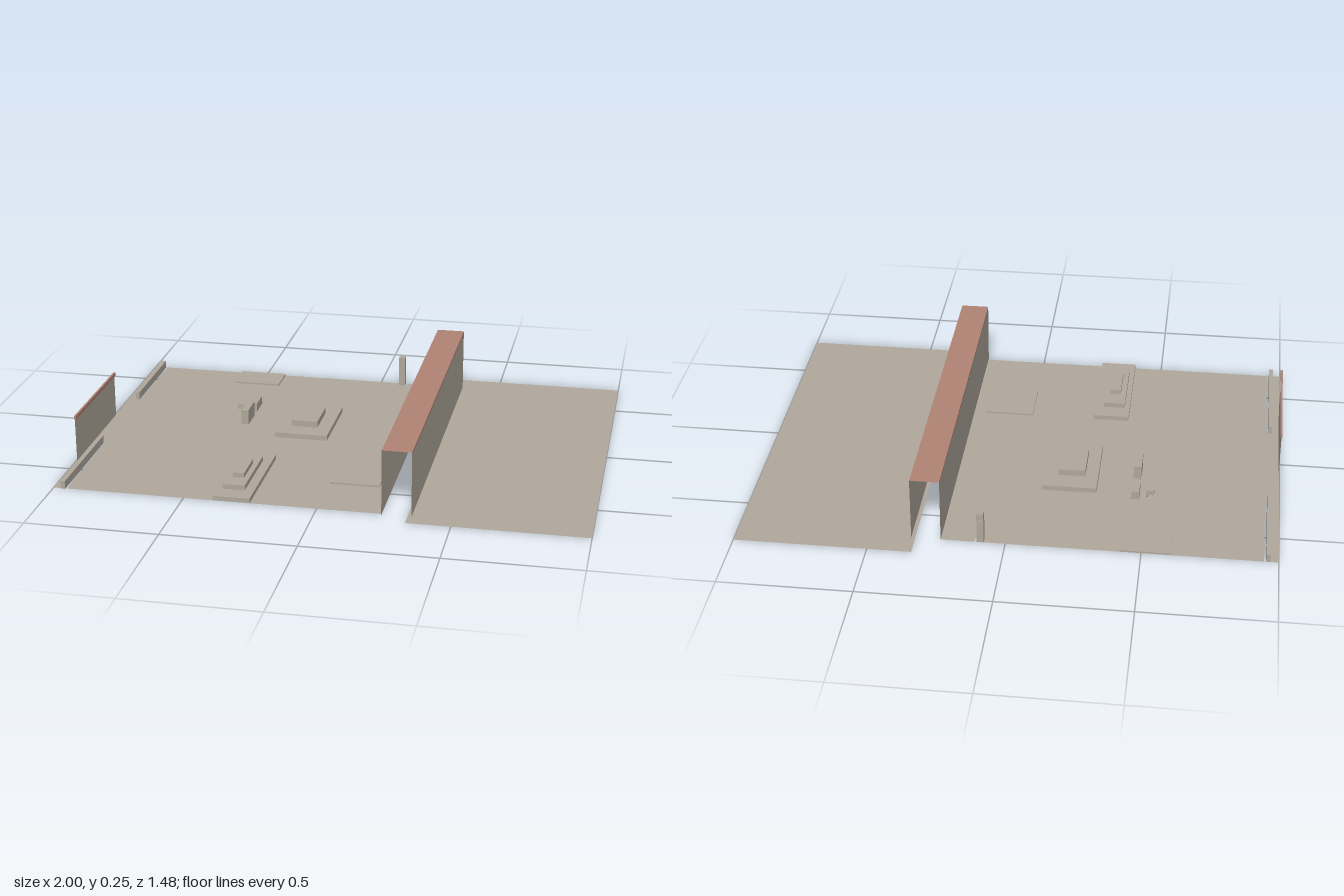
import * as THREE from 'three';

const stone = new THREE.MeshStandardMaterial({ color: 0xb0a89b, side: THREE.DoubleSide });
stone.name = 'warm grey';
const red = new THREE.MeshStandardMaterial({ color: 0xb08375, side: THREE.DoubleSide });
red.name = 'dull red';

// Faces of a box, in the order three.js stores them
const FACES = ['+x', '-x', '+y', '-y', '+z', '-z'];

// Box given by its limits, with some faces left open
function block(name, [x0, x1], [y0, y1], [z0, z1], open = ['-y'], material = stone) {
  const geo = new THREE.BoxGeometry(x1 - x0, y1 - y0, z1 - z0);
  const index = Array.from(geo.index.array);
  geo.setIndex(FACES.flatMap((f, i) => (open.includes(f) ? [] : index.slice(i * 6, i * 6 + 6))));
  geo.translate((x0 + x1) / 2, (y0 + y1) / 2, (z0 + z1) / 2);
  const mesh = new THREE.Mesh(geo, material);
  mesh.name = name;
  return mesh;
}

// Flat sheet on the ground from [x, z] corners, with rectangular holes
function sheet(name, corners, holes = []) {
  const flat = (pts) => pts.map(([x, z]) => new THREE.Vector2(x, -z));
  const shape = new THREE.Shape(flat(corners));
  for (const [x0, x1, z0, z1] of holes) {
    shape.holes.push(new THREE.Path(flat([[x0, z0], [x1, z0], [x1, z1], [x0, z1]])));
  }
  const mesh = new THREE.Mesh(new THREE.ShapeGeometry(shape).rotateX(-Math.PI / 2), stone);
  mesh.name = name;
  return mesh;
}

// Stack of ever smaller blocks: each tier is [x0, x1, z0, z1, top]
function steppedPlatform(name, tiers) {
  const group = new THREE.Group();
  group.name = name;
  let bottom = 0;
  tiers.forEach(([x0, x1, z0, z1, top], i) => {
    group.add(block(`tier${i + 1}`, [x0, x1], [bottom, top], [z0, z1]));
    bottom = top;
  });
  return group;
}

export function createModel() {
  const model = new THREE.Group();
  model.name = 'walledCourt';

  // Main floor, notched at the edges under rails, post and platform
  model.add(sheet('mainFloor', [
    [-1, -0.65], [-0.97, -0.65], [-0.97, -0.255], [-0.947, -0.255], [-0.947, -0.65],
    [0.08, -0.65], [0.08, -0.625], [0.115, -0.625], [0.115, -0.65], [0.24, -0.65],
    [0.24, 0.68], [-0.25, 0.68], [-0.25, 0.255], [-0.39, 0.255], [-0.39, 0.68],
    [-0.947, 0.68], [-0.947, 0.225], [-0.97, 0.225], [-0.97, 0.68], [-1, 0.68],
  ], [
    [-0.305, -0.095, -0.28, 0.04],
    [-0.525, -0.495, -0.285, -0.23],
    [-0.47, -0.44, -0.305, -0.195],
    [-0.47, -0.44, -0.17, -0.07],
  ]));

  // Ground beyond the wall
  model.add(sheet('outerGround', [[0.335, -0.74], [1, -0.74], [1, 0.74], [0.335, 0.74]]));

  // Hollow long wall with open ends and a red coping
  const wall = new THREE.Group();
  wall.name = 'longWall';
  wall.add(
    block('wallSides', [0.24, 0.35], [0, 0.243], [-0.65, 0.69], ['+y', '-y', '+z', '-z']),
    block('wallCoping', [0.24, 0.35], [0.243, 0.252], [-0.65, 0.69], ['-y', '+z', '-z'], red),
  );
  model.add(wall);

  // Thin end screen with a red top bar
  const screen = new THREE.Group();
  screen.name = 'endScreen';
  screen.add(
    block('screenPanel', [-0.997, -0.995], [0, 0.17], [-0.07, 0.42], ['+x', '+y', '-y', '+z', '-z']),
    block('screenBar', [-1, -0.992], [0.17, 0.184], [-0.07, 0.42], [], red),
  );
  model.add(screen);

  // Low rails either side of the screen
  for (const [name, z] of [['backRail', [-0.65, -0.255]], ['frontRail', [0.225, 0.685]]]) {
    model.add(block(name, [-0.97, -0.954], [0, 0.03], z));
  }

  // Stepped platforms
  model.add(steppedPlatform('middlePlatform', [
    [-0.305, -0.095, -0.28, 0.04, 0.02],
    [-0.255, -0.15, -0.2, -0.04, 0.045],
  ]));
  model.add(steppedPlatform('frontPlatform', [
    [-0.39, -0.25, 0.255, 0.68, 0.018],
    [-0.37, -0.285, 0.325, 0.61, 0.037],
    [-0.348, -0.305, 0.4, 0.54, 0.055],
  ]));

  // Small blocks
  model.add(
    block('lowBlock', [-0.525, -0.495], [0, 0.02], [-0.27, -0.23]),
    block('middleBlock', [-0.47, -0.44], [0, 0.035], [-0.305, -0.215]),
    block('tallBlock', [-0.47, -0.44], [0, 0.06], [-0.17, -0.07]),
  );

  // Thin floor slabs
  model.add(
    block('backSlab', [-0.61, -0.42], [0, 0.007], [-0.65, -0.52]),
    block('frontSlab', [0, 0.19], [0, 0.007], [0.25, 0.45]),
  );

  // Post at the back edge with two small knobs
  const post = new THREE.Group();
  post.name = 'backPost';
  post.add(block('postShaft', [0.08, 0.106], [0, 0.125], [-0.65, -0.625]));
  for (const y of [0.09, 0.118]) {
    post.add(block('postKnob', [0.086, 0.1], [y - 0.006, y + 0.006], [-0.657, -0.65], []));
  }
  model.add(post);

  return model;
}
